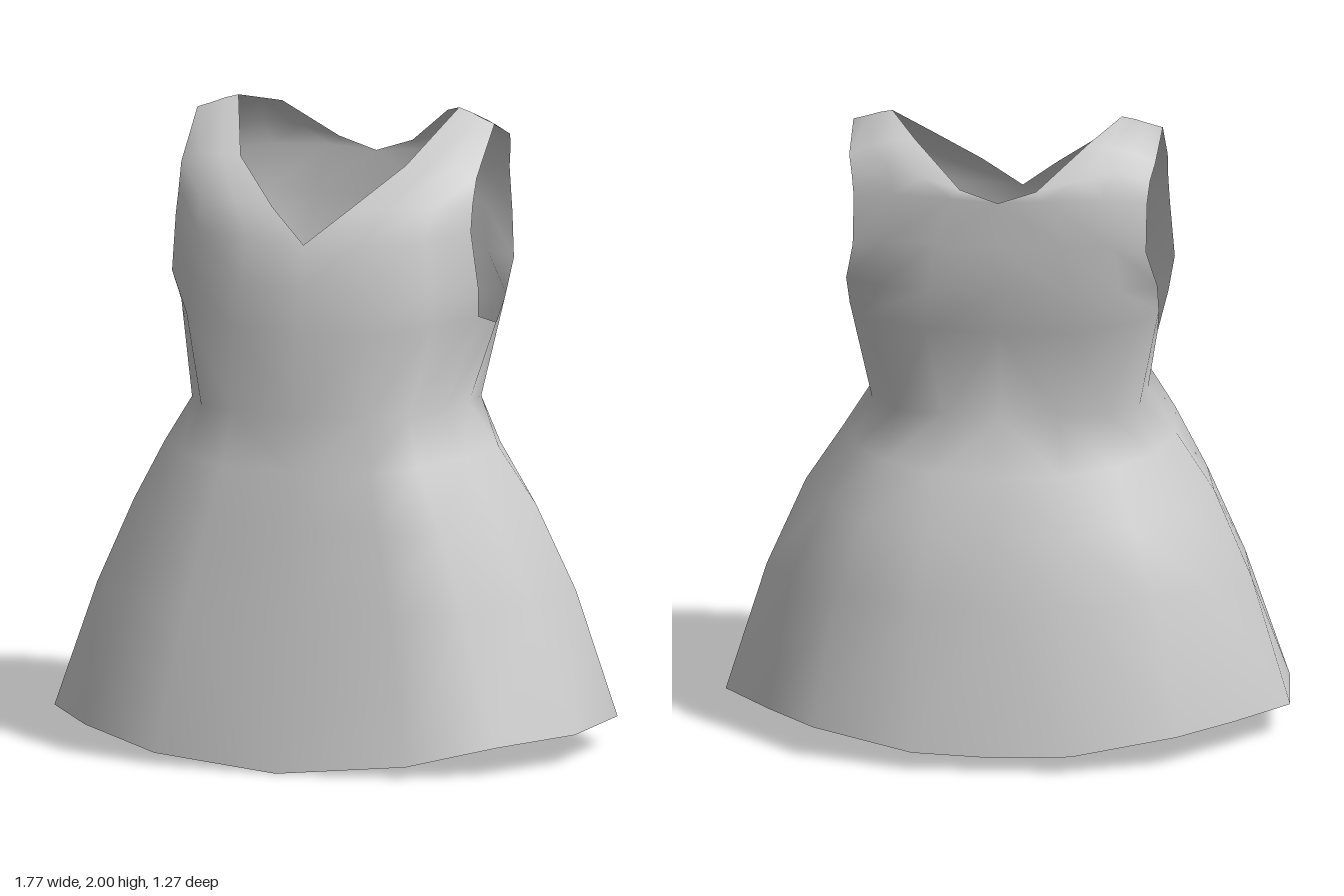
import * as THREE from 'three';
import { mergeVertices } from 'three/addons/utils/BufferGeometryUtils.js';

// Half cross-sections [x, y, z] of the left side, from front centre to back centre.
const skirt = [
  [[0, 0.005, 0.635], [0.41, 0.04, 0.59], [0.67, 0.095, 0.48], [0.85, 0.1, 0.22], [0.885, 0.1, -0.115],
    [0.73, 0.1, -0.33], [0.57, 0.1, -0.525], [0.25, 0.06, -0.64], [0, 0.05, -0.64]],
  [[0, 0.5, 0.53], [0.33, 0.5, 0.51], [0.55, 0.5, 0.43], [0.71, 0.5, 0.22], [0.76, 0.5, -0.08],
    [0.66, 0.52, -0.3], [0.5, 0.53, -0.46], [0.24, 0.5, -0.55], [0, 0.5, -0.555]],
  [[0, 0.75, 0.48], [0.28, 0.75, 0.465], [0.46, 0.76, 0.39], [0.59, 0.77, 0.22], [0.64, 0.77, -0.05],
    [0.56, 0.76, -0.25], [0.42, 0.73, -0.4], [0.22, 0.72, -0.48], [0, 0.72, -0.485]],
  [[0, 0.93, 0.445], [0.24, 0.93, 0.43], [0.38, 0.95, 0.37], [0.49, 0.96, 0.22], [0.52, 0.95, -0.04],
    [0.47, 0.93, -0.22], [0.36, 0.92, -0.34], [0.2, 0.9, -0.41], [0, 0.9, -0.42]],
];
const waist = [
  [[0, 1.1, 0.415], [0.22, 1.1, 0.385], [0.34, 1.1, 0.32], [0.41, 1.1, 0.19], [0.43, 1.09, -0.02],
    [0.42, 1.08, -0.18], [0.33, 1.07, -0.28], [0.18, 1.07, -0.325], [0, 1.07, -0.335]],
  [[0, 1.36, 0.4], [0.22, 1.36, 0.375], [0.4, 1.38, 0.28], [0.485, 1.38, 0.06], [0.475, 1.32, -0.16],
    [0.485, 1.4, -0.23], [0.43, 1.39, -0.33], [0.23, 1.36, -0.385], [0, 1.36, -0.395]],
];

// Shoulder seam, from neckline to armhole.
const shoulder = [[0.36, 2, -0.14], [0.4, 1.99, -0.13], [0.44, 1.975, -0.12], [0.485, 1.96, -0.11]];

// Front panel rows, from neckline to armhole.
const front = [
  waist[1].slice(0, 4),
  [[0, 1.5, 0.375], [0.2, 1.5, 0.358], [0.39, 1.49, 0.27], [0.5, 1.48, 0.11]],
  [[0, 1.63, 0.34], [0.19, 1.64, 0.33], [0.37, 1.64, 0.255], [0.482, 1.66, 0.13]],
  [[0.12, 1.73, 0.275], [0.25, 1.74, 0.255], [0.38, 1.74, 0.2], [0.48, 1.74, 0.105]],
  [[0.27, 1.86, 0.13], [0.34, 1.86, 0.12], [0.41, 1.85, 0.1], [0.482, 1.82, 0.07]],
  shoulder,
];

// Back panel rows, from neckline to armhole.
const back = [
  waist[1].slice(5).reverse(),
  [[0, 1.5, -0.425], [0.22, 1.5, -0.415], [0.38, 1.5, -0.38], [0.488, 1.5, -0.305]],
  [[0, 1.65, -0.428], [0.2, 1.65, -0.422], [0.36, 1.65, -0.405], [0.46, 1.63, -0.38]],
  [[0, 1.79, -0.43], [0.15, 1.8, -0.428], [0.33, 1.8, -0.395], [0.46, 1.78, -0.35]],
  [[0.12, 1.83, -0.425], [0.24, 1.86, -0.405], [0.35, 1.88, -0.37], [0.468, 1.85, -0.335]],
  [[0.27, 1.955, -0.31], [0.34, 1.95, -0.31], [0.41, 1.93, -0.3], [0.48, 1.895, -0.29]],
  shoulder,
];

// Joins neighbouring rows with triangles on both mirrored sides.
function addPanel(out, rows) {
  const tri = (a, b, c) => {
    out.push(...a, ...b, ...c);
    for (const [x, y, z] of [a, c, b]) out.push(x === 0 ? 0 : -x, y, z);
  };
  for (let r = 0; r < rows.length - 1; r++) {
    for (let c = 0; c < rows[r].length - 1; c++) {
      const a = rows[r][c], b = rows[r][c + 1], d = rows[r + 1][c + 1], e = rows[r + 1][c];
      tri(a, b, d);
      tri(a, d, e);
    }
  }
}

export function createModel() {
  const fabric = new THREE.MeshStandardMaterial({ color: 0xcccccc, side: THREE.DoubleSide });
  fabric.name = 'light grey fabric';

  // Skirt, bodice and straps are one continuous smooth cloth.
  const positions = [];
  addPanel(positions, [...skirt, ...waist]);
  addPanel(positions, front);
  addPanel(positions, back.map((row) => [...row].reverse()));

  let geometry = new THREE.BufferGeometry();
  geometry.setAttribute('position', new THREE.Float32BufferAttribute(positions, 3));
  geometry = mergeVertices(geometry, 1e-4);
  geometry.computeVertexNormals();

  const dress = new THREE.Mesh(geometry, fabric);
  dress.name = 'sleevelessDress';

  const group = new THREE.Group();
  group.name = 'dress';
  group.add(dress);
  return group;
}
